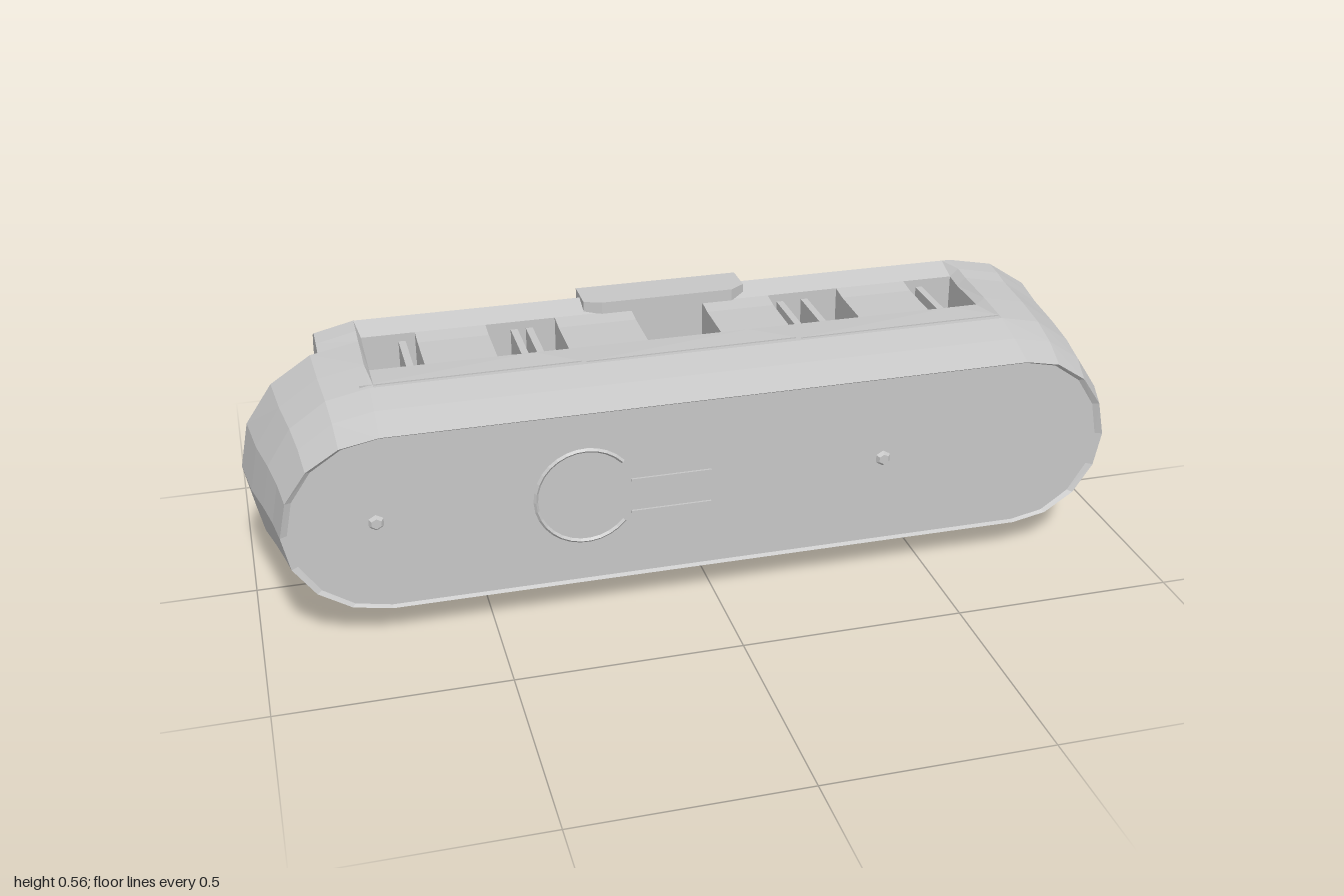
import * as THREE from 'three';

export function createModel() {
  const group = new THREE.Group();
  const shell = new THREE.MeshStandardMaterial({ color: 0xc6c6c6, flatShading: true, side: THREE.DoubleSide });
  shell.name = 'shellGrey';

  const add = (name, geometry, x = 0, y = 0, z = 0) => {
    const mesh = new THREE.Mesh(geometry, shell);
    mesh.name = name;
    mesh.position.set(x, y, z);
    group.add(mesh);
    return mesh;
  };
  const box = (name, w, h, d, x, y, z) => add(name, new THREE.BoxGeometry(w, h, d), x, y, z);

  // Cross-sections front to back: z, bottom, top, left-hand x, right-hand x, deck recess, end notch
  const sections = [
    [0.272, 0.085, 0.485, -0.925, 0.91, 0, 0],
    [0.28, 0.08, 0.49, -0.94, 0.925, 0, 0],
    [0.205, 0.048, 0.516, -0.95, 0.95, 0, 0],
    [0.13, 0.03, 0.535, -0.965, 0.96, 0, 0],
    [0.03, 0.004, 0.544, -0.985, 0.975, 0.014, 0],
    [-0.085, 0.002, 0.55, -1, 0.985, 0.018, 0],
    [-0.085, 0.002, 0.55, -1, 0.985, 0.018, 1],
    [-0.13, 0.002, 0.556, -1, 0.99, 0.018, 1],
    [-0.185, 0.004, 0.558, -1, 1, 0, 1],
    [-0.235, 0.032, 0.532, -0.98, 0.975, 0, 1],
    [-0.256, 0.056, 0.506, -0.96, 0.95, 0, 1],
    [-0.28, 0.09, 0.48, -0.9, 0.88, 0, 1],
  ];
  // Window edges lie between the two ends of the straight run
  const xs = [0.72, 0.70, 0.58, 0.41, 0.24, 0.08, -0.09, -0.27, -0.43, -0.59, -0.71, -0.72];
  const ARC = 8;

  const rings = sections.map(([z, y0, y1, xl, xr, recess, notch]) => {
    const cy = (y0 + y1) / 2, h = (y1 - y0) / 2, ring = [];
    const put = (x, y) => ring.push(new THREE.Vector3(notch ? Math.max(x, -0.81) : x, y, z));
    const arc = (x, reach, start) => {
      for (let i = 0; i <= ARC; i++) {
        const a = start + (i / ARC) * Math.PI;
        put(x + Math.abs(reach - x) * Math.cos(a), cy + h * Math.sin(a));
      }
    };
    arc(0.72, xr, -Math.PI / 2);
    xs.slice(1, -1).forEach((x) => put(x, y1 - recess));
    arc(-0.72, xl, Math.PI / 2);
    xs.slice(1, -1).reverse().forEach((x) => put(x, y0 + recess));
    return ring;
  });

  // Small collector for triangles, skipping collapsed ones
  const mesher = () => {
    const points = [];
    const tri = (a, b, c) => {
      const area = b.clone().sub(a).cross(c.clone().sub(a)).length();
      if (area > 1e-7) points.push(a, b, c);
    };
    const quad = (a, b, c, d) => { tri(a, b, c); tri(a, c, d); };
    const build = () => {
      const g = new THREE.BufferGeometry().setFromPoints(points);
      g.computeVertexNormals();
      return g;
    };
    return { tri, quad, build };
  };

  // Hull, leaving out the window cells and the slot in the notched end
  const hull = mesher();
  const count = rings[0].length;
  const windowCell = (j) => [ARC, 3 * ARC + 3].some((s) => j > s && j < s + 11 && (j - s) % 2 === 1);
  for (let i = 0; i < rings.length - 1; i++) {
    for (let j = 0; j < count; j++) {
      if (i >= 4 && i < 7 && windowCell(j)) continue;
      if (i === 8 && (j === 22 || j === 23)) continue;
      const k = (j + 1) % count;
      hull.quad(rings[i][j], rings[i + 1][j], rings[i + 1][k], rings[i][k]);
    }
  }
  const last = rings.length - 1;
  const frontCentre = new THREE.Vector3(0, 0.285, 0.272);
  const backCentre = new THREE.Vector3(0, 0.285, -0.28);
  for (let j = 0; j < count; j++) {
    const k = (j + 1) % count;
    hull.tri(frontCentre, rings[0][j], rings[0][k]);
    hull.tri(backCentre, rings[last][k], rings[last][j]);
  }
  add('hull', hull.build());

  // Window shafts running from deck to underside
  const shafts = mesher();
  const top = (i, k) => rings[i][ARC + k];
  const bottom = (i, k) => rings[i][(3 * ARC + 3 + 11 - k) % count];
  for (let k = 1; k < 11; k += 2) {
    for (let i = 4; i < 7; i++) {
      shafts.quad(top(i, k), bottom(i, k), bottom(i + 1, k), top(i + 1, k));
      shafts.quad(top(i, k + 1), top(i + 1, k + 1), bottom(i + 1, k + 1), bottom(i, k + 1));
    }
    shafts.quad(top(4, k), top(4, k + 1), bottom(4, k + 1), bottom(4, k));
    shafts.quad(top(7, k), bottom(7, k), bottom(7, k + 1), top(7, k + 1));
  }
  add('windowShafts', shafts.build());

  // Slats inside the shafts
  [-0.62, -0.365, -0.33, 0.27, 0.33, 0.62].forEach((x) => box('slat', 0.016, 0.48, 0.158, x, 0.28, -0.05));

  // Raised key on the rear edge of the deck
  const key = new THREE.Shape([[-0.2, 0.14], [-0.16, 0.125], [0.15, 0.125], [0.185, 0.15],
    [0.185, 0.225], [-0.2, 0.225]].map(([x, y]) => new THREE.Vector2(x, y)));
  const keyMesh = add('deckKey', new THREE.ExtrudeGeometry(key, { depth: 0.03, bevelEnabled: false }), 0, 0.535, 0);
  keyMesh.rotation.x = -Math.PI / 2;

  // Low wedges along the front of the deck
  [-0.74, -0.25, 0.24].forEach((x) => {
    const wedge = new THREE.Shape([new THREE.Vector2(0, -0.12), new THREE.Vector2(0.48, -0.115),
      new THREE.Vector2(0.39, -0.045)]);
    const mesh = add('deckWedge', new THREE.ExtrudeGeometry(wedge, { depth: 0.006, bevelEnabled: false }), x, 0.531, 0);
    mesh.rotation.x = -Math.PI / 2;
  });

  // Floor of the end slot and two studs on the notch ledge
  box('slotFloor', 0.008, 0.26, 0.08, -0.785, 0.28, -0.21);
  [0.2, 0.37].forEach((y) => box('ledgeStud', 0.035, 0.04, 0.008, -0.89, y, -0.086));

  // Shallow relief on the front panel
  add('frontRing', new THREE.TorusGeometry(0.11, 0.005, 4, 24, Math.PI * 1.55), -0.29, 0.29, 0.272)
    .rotation.z = Math.PI * 0.23;
  [0.315, 0.237].forEach((y) => box('frontTongue', 0.18, 0.007, 0.008, -0.1, y, 0.273));
  [-0.74, 0.39].forEach((x) => {
    add('frontStud', new THREE.CylinderGeometry(0.012, 0.02, 0.01, 6), x, 0.29, 0.275).rotation.x = Math.PI / 2;
  });

  return group;
}
